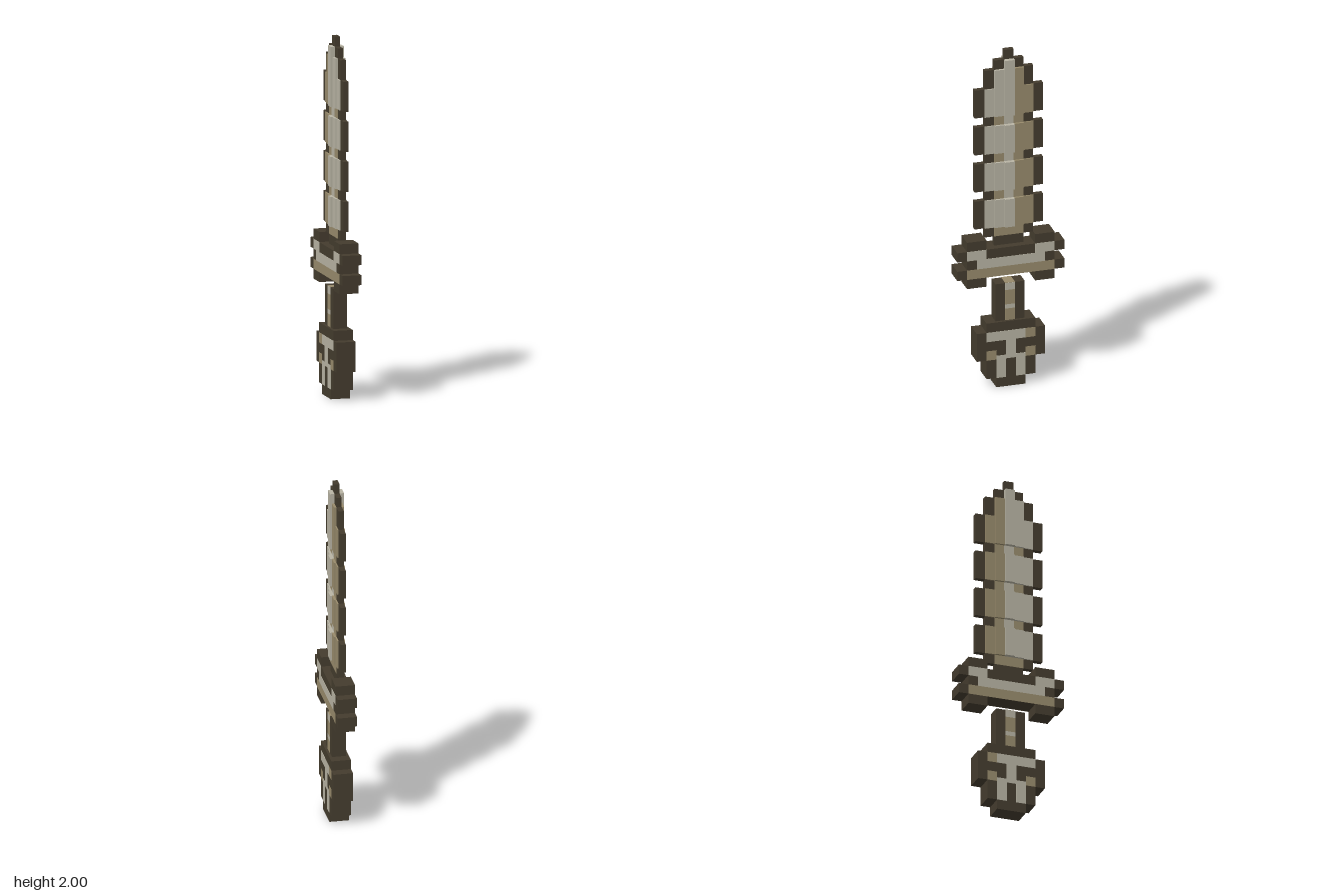
import * as THREE from 'three';

const U = 1 / 18; // one block of the stepped outline

const material = (name, color) => {
  const m = new THREE.MeshStandardMaterial({ color });
  m.name = name;
  return m;
};

export function createModel() {
  const model = new THREE.Group();
  model.name = 'sword';
  const dark = material('dark bronze', 0x443c2e);
  const light = material('pale steel', 0xb8b4a4);
  const tan = material('tan brass', 0x988b6c);

  let part;
  const startPart = (name) => {
    part = new THREE.Group();
    part.name = name;
    model.add(part);
  };
  // box spanning z0..z1 and y0..y1 in blocks, centred on x, with half thickness h
  const block = (name, mat, z0, z1, y0, y1, h) => {
    const mesh = new THREE.Mesh(new THREE.BoxGeometry(2 * h, (y1 - y0) * U, (z1 - z0) * U), mat);
    mesh.position.set(0, (y0 + y1) / 2 * U, (z0 + z1) / 2 * U);
    mesh.name = name;
    part.add(mesh);
  };
  // thin painted plate on both broad sides of a part of half thickness h
  const paint = (name, mat, z0, z1, y0, y1, h) => {
    for (const s of [-1, 1]) {
      const mesh = new THREE.Mesh(new THREE.BoxGeometry(0.003, (y1 - y0) * U, (z1 - z0) * U), mat);
      mesh.position.set(s * h, (y0 + y1) / 2 * U, (z0 + z1) / 2 * U);
      mesh.name = name;
      part.add(mesh);
    }
  };

  // Blade: dark core with a toothed edge
  startPart('blade');
  const core = 0.0145;
  block('bladeRoot', dark, -1.5, 1.5, 15, 16, core);
  block('bladeCore', dark, -2.5, 2.5, 16, 34, core);
  block('bladeShoulder', dark, -1.5, 1.5, 34, 35, core);
  block('bladeTip', dark, -0.5, 0.5, 35, 36, core);
  paint('bladeRootInlay', tan, -1.5, 1.5, 16, 17, core);

  // Raised segments: a high central ridge stepping down to each edge
  for (let i = 0; i < 4; i++) {
    const y = 17 + 4 * i;
    const last = i === 3;
    for (const s of [-1, 1]) {
      const mat = s > 0 ? light : tan;
      const span = (a, b) => (s > 0 ? [a, b] : [-b, -a]);
      block('bladeTooth', dark, ...span(2.5, 3.5), y, y + 3, core);
      block('innerBevel', mat, ...span(0.5, 1.5), y, last ? 34 : y + 3, 0.0285);
      block('outerBevel', mat, ...span(1.5, 2.5), y, last ? 32 : y + 3, 0.0215);
    }
    block('bladeRidge', light, -0.5, 0.5, y, last ? 35 : y + 3, 0.0385);
    if (!last) {
      paint('grooveInlay', tan, -1.5, -0.5, y + 3, y + 4, core);
      paint('grooveInlay', tan, 0.5, 1.5, y + 3, y + 4, core);
      paint('grooveCentre', light, -0.5, 0.5, y + 3, y + 4, core);
    }
  }

  // Guard: stepped bar with forked ends
  startPart('guard');
  const g = 0.0535;
  block('guardBar', dark, -4.5, 4.5, 12, 15, g);
  for (const s of [-1, 1]) {
    const span = (a, b) => (s > 0 ? [a, b] : [-b, -a]);
    block('guardFoot', dark, ...span(2.5, 4.5), 11, 12, g);
    block('guardHorn', dark, ...span(2.5, 4.5), 15, 16, g);
    block('lowerProng', dark, ...span(4.5, 5.5), 12, 13, g);
    block('upperProng', dark, ...span(4.5, 5.5), 14, 15, g);
    paint('guardEndInlay', light, ...span(2.5, 4.5), 14, 15, g);
  }
  paint('guardInlay', light, -3.5, 3.5, 13, 14, g);
  paint('guardStripe', tan, -4.5, 4.5, 12, 13, g);

  // Grip with a banded central strip
  startPart('grip');
  const h = 0.039;
  block('gripCore', dark, -1.5, 1.5, 7, 11, h);
  [[tan, 7, 8.25], [light, 8.25, 8.7], [tan, 8.7, 10.25], [light, 10.25, 11]]
    .forEach(([m, a, b]) => paint('gripBand', m, -0.5, 0.5, a, b, h));
  block('gripCap', tan, -0.5, 0.5, 11, 11.04, h);

  // Pommel with a mask-like inlay
  startPart('pommel');
  const p = 0.0545;
  block('pommelFoot', dark, -1.5, 1.5, 0, 1, p);
  block('pommelBody', dark, -2.5, 2.5, 1, 7, p);
  for (const s of [-1, 1]) {
    const span = (a, b) => (s > 0 ? [a, b] : [-b, -a]);
    block('pommelSide', dark, ...span(2.5, 3.5), 3, 6, p);
    paint('pommelCheek', light, ...span(0.5, 1.5), 1, 3.4, p);
    paint('pommelEye', tan, ...span(1.5, 2.5), 3, 4, p);
  }
  paint('pommelBrow', light, -1.5, 2.5, 5, 6, p);
  paint('pommelBrowEnd', tan, -2.5, -1.5, 5, 6, p);
  paint('pommelStem', light, -0.5, 0.5, 3, 5, p);

  return model;
}
